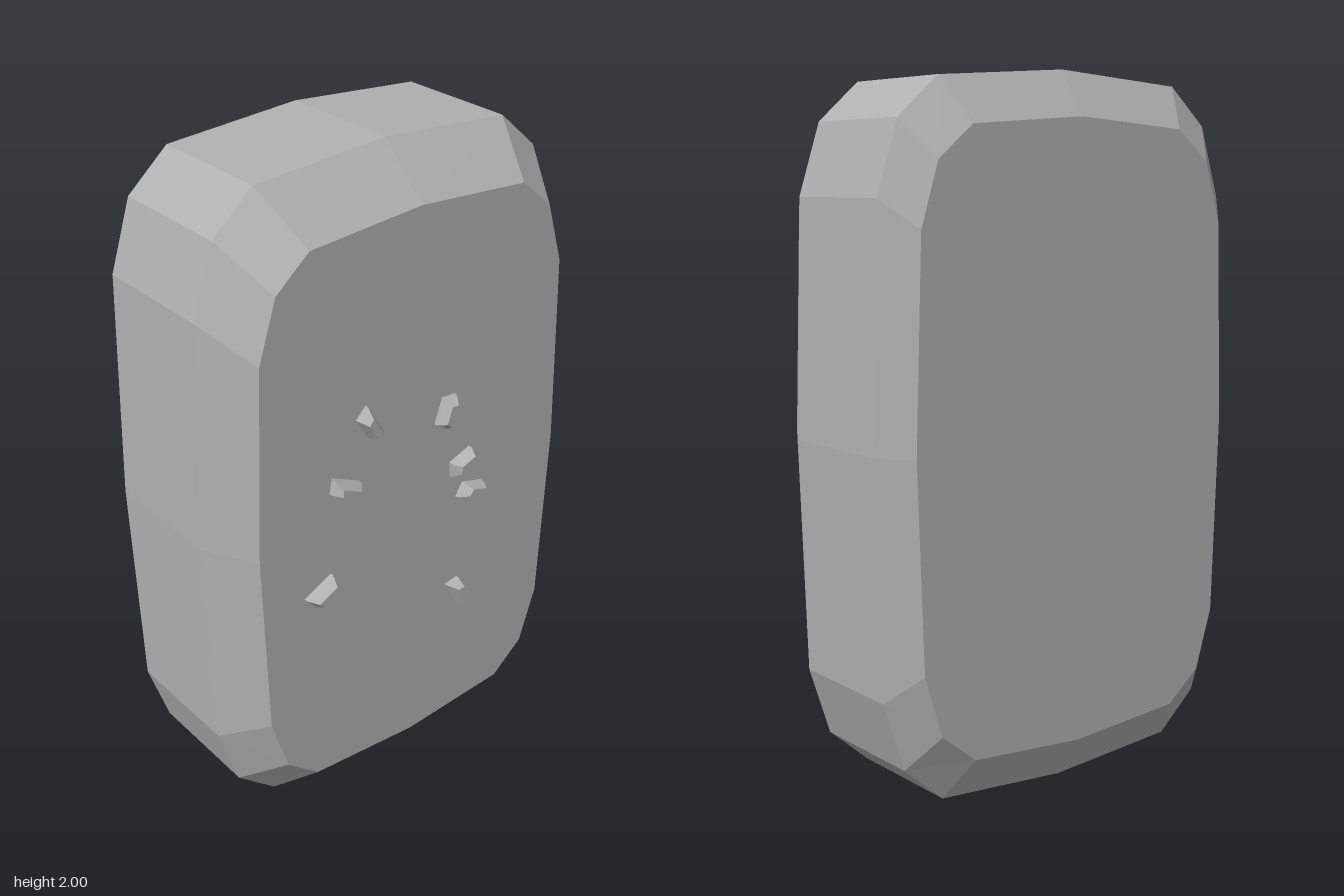
import * as THREE from 'three';

// Closed loft through equal-length rings (counter-clockwise from +z), listed back to front
function loft(rings) {
  const n = rings[0].length;
  const pos = rings.flat(2);
  const idx = [];
  for (let r = 0; r < rings.length - 1; r++) {
    for (let i = 0; i < n; i++) {
      const a = r * n + i, b = r * n + (i + 1) % n;
      idx.push(a, b, b + n, a, b + n, a + n);
    }
  }
  const last = (rings.length - 1) * n;
  for (let i = 1; i < n - 1; i++) {
    idx.push(0, i + 1, i);
    idx.push(last, last + i, last + i + 1);
  }
  const indexed = new THREE.BufferGeometry();
  indexed.setAttribute('position', new THREE.Float32BufferAttribute(pos, 3));
  indexed.setIndex(idx);
  const g = indexed.toNonIndexed();
  g.computeVertexNormals();
  return g;
}

// Mirror a quarter outline (side middle to top middle) into a full ring at depth z
function ring(quarter, z) {
  const left = quarter.slice(0, -1).map(([x, y]) => [-x, y]).reverse();
  const upper = [...quarter, ...left];
  const lower = upper.slice(1, -1).map(([x, y]) => [x, -y]).reverse();
  return [...upper, ...lower].map(([x, y]) => [x, y, z]);
}

export function createModel() {
  const group = new THREE.Group();
  const stone = new THREE.MeshStandardMaterial({ color: 0xb0b0b0, flatShading: true });
  stone.name = 'stoneGrey';

  // Bevelled slab
  const outer = [[0.625, 0], [0.605, 0.66], [0.54, 0.86], [0.415, 0.97], [0, 1]];
  const front = [[0.54, 0], [0.52, 0.57], [0.465, 0.745], [0.36, 0.835], [0, 0.862]];
  const back = [[0.55, 0], [0.53, 0.58], [0.475, 0.757], [0.365, 0.846], [0, 0.873]];
  const body = new THREE.Mesh(
    loft([ring(back, -0.33), ring(outer, -0.245), ring(outer, 0.13), ring(front, 0.28)]), stone);
  body.name = 'body';
  body.position.y = 1;
  group.add(body);

  // Small tapered chips floating just off the front face
  const chipGeometry = loft([
    [[-0.052, -0.023, 0], [0.052, -0.023, 0], [0.04, 0.023, 0], [-0.04, 0.023, 0]],
    [[-0.05, -0.021, 0.012], [0.05, -0.021, 0.012], [0.039, 0.022, 0.012], [-0.039, 0.022, 0.012]],
    [[-0.034, -0.007, 0.04], [0.034, -0.007, 0.04], [0.026, 0.014, 0.04], [-0.026, 0.014, 0.04]],
  ]);
  // x, y, angle in degrees
  const chips = [
    [-0.183, 1.3, 122], [0.09, 1.24, 72], [-0.268, 1.133, 155], [0.162, 1.055, 20],
    [0.202, 0.945, -16], [-0.347, 0.828, 207], [0.16, 0.602, -65],
  ];
  chips.forEach(([x, y, angle], i) => {
    const chip = new THREE.Mesh(chipGeometry, stone);
    chip.name = `chip${i + 1}`;
    chip.position.set(x, y, 0.29);
    chip.rotation.z = THREE.MathUtils.degToRad(angle);
    group.add(chip);
  });

  return group;
}
